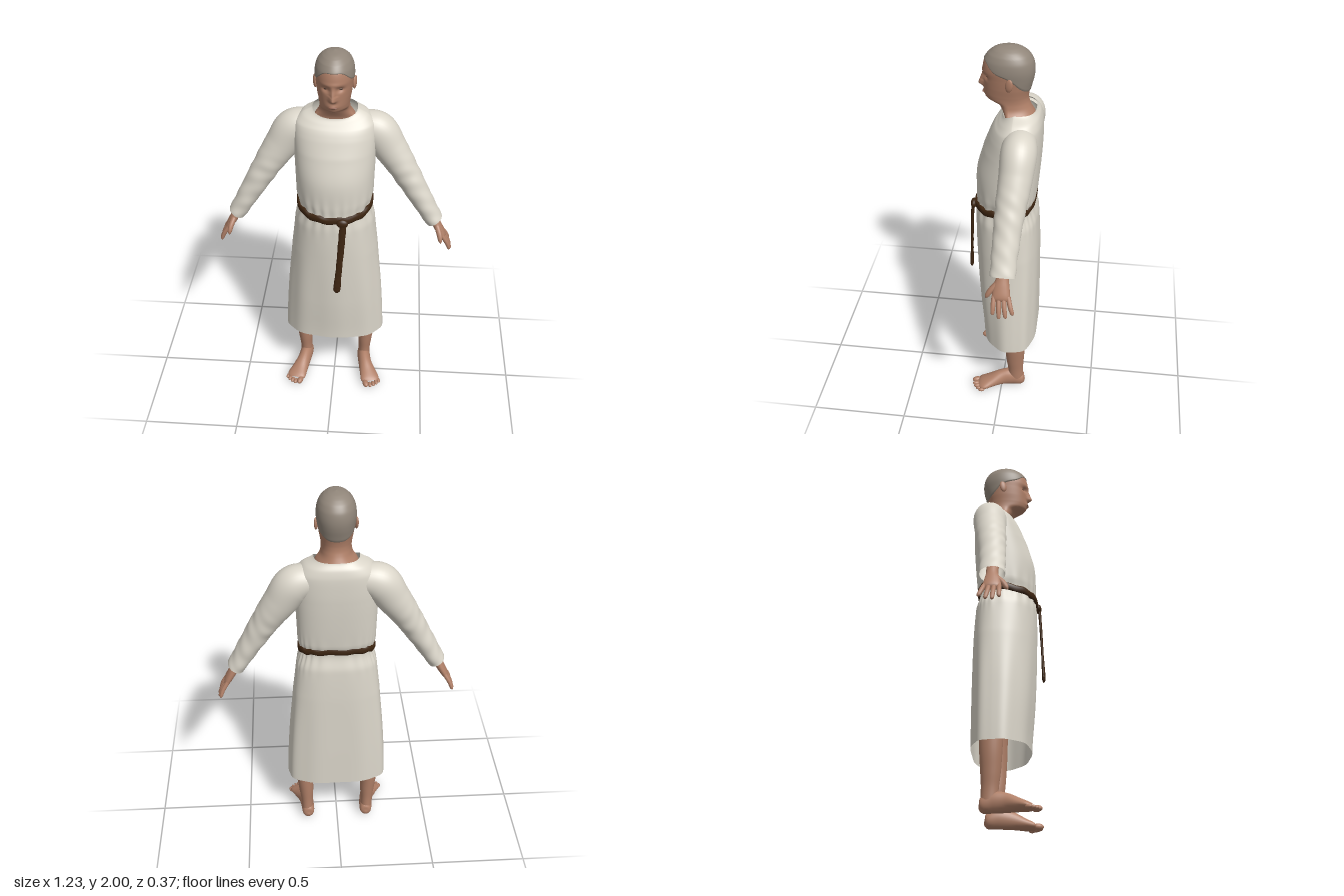
import * as THREE from 'three';

const mat = (name, color, side = THREE.FrontSide) => {
  const m = new THREE.MeshStandardMaterial({ color, side });
  m.name = name;
  return m;
};
const gauss = (v) => Math.exp(-v * v);
const X = new THREE.Vector3(1, 0, 0), Y = new THREE.Vector3(0, 1, 0), Z = new THREE.Vector3(0, 0, 1);

// Catmull-Rom value between rows of numbers
function blend(rows, i, t) {
  const at = (k) => rows[Math.min(rows.length - 1, Math.max(0, k))];
  const [a, b, c, d] = [at(i - 1), at(i), at(i + 1), at(i + 2)];
  return b.map((p, k) => p + 0.5 * t * (c[k] - a[k]
    + t * (2 * a[k] - 5 * p + 4 * c[k] - d[k] + t * (3 * (p - c[k]) + d[k] - a[k]))));
}
function sampleY(rows, y) {
  let i = 0;
  while (i < rows.length - 2 && y > rows[i + 1][0]) i++;
  return blend(rows, i, THREE.MathUtils.clamp((y - rows[i][0]) / (rows[i + 1][0] - rows[i][0]), 0, 1));
}

// Surface of rings: fn(row 0..1, angle) gives a point; angles run counter-clockwise about the path
function grid(fn, rows, cols) {
  const pos = [], idx = [];
  for (let i = 0; i <= rows; i++)
    for (let j = 0; j < cols; j++) pos.push(...fn(i / rows, (j / cols) * Math.PI * 2).toArray());
  for (let i = 0; i < rows; i++)
    for (let j = 0; j < cols; j++) {
      const a = i * cols + j, b = i * cols + ((j + 1) % cols), c = a + cols, d = b + cols;
      idx.push(a, b, c, b, d, c);
    }
  const g = new THREE.BufferGeometry();
  g.setAttribute('position', new THREE.Float32BufferAttribute(pos, 3));
  g.setIndex(idx);
  g.computeVertexNormals();
  return g;
}

// Elliptical limb through keys [x, y, z, halfWidth, halfDepth]
function limb(keys, { ref = Z, rows = 20, cols = 20, wrinkle = () => 0, floor = -1 } = {}) {
  const at = (t) => {
    const s = THREE.MathUtils.clamp(t, 0, 1) * (keys.length - 1), i = Math.min(keys.length - 2, Math.floor(s));
    return blend(keys, i, s - i);
  };
  return grid((t, a) => {
    const k = at(t);
    const dir = new THREE.Vector3(...at(t + 0.02)).sub(new THREE.Vector3(...at(t - 0.02))).normalize();
    const u = ref.clone().cross(dir).normalize(), v = dir.clone().cross(u), w = 1 + wrinkle(t, a);
    const p = new THREE.Vector3(k[0], k[1], k[2])
      .addScaledVector(u, Math.max(0, k[3]) * w * Math.cos(a)).addScaledVector(v, Math.max(0, k[4]) * w * Math.sin(a));
    p.y = Math.max(floor, p.y);
    return p;
  }, rows, cols);
}

function mirrored(g) {
  const m = g.clone().scale(-1, 1, 1), ix = m.index.array;
  for (let i = 0; i < ix.length; i += 3) [ix[i], ix[i + 1]] = [ix[i + 1], ix[i]];
  m.computeVertexNormals();
  return m;
}

// Horizontal cross-section, angle 0 at the front
function ring(a, rx, zf, zb, mid, pf, pb) {
  const s = Math.sin(a), c = Math.cos(a), p = c > 0 ? pf : pb;
  return [rx * Math.sign(s) * Math.abs(s) ** (2 / p),
    mid + (c > 0 ? zf - mid : mid - zb) * Math.sign(c) * Math.abs(c) ** (2 / p)];
}

// Robe rows: [y, half width, front z, back z]
const ROBE = [[0.325, 0.268, 0.115, -0.18], [0.6, 0.253, 0.135, -0.18], [0.9, 0.226, 0.148, -0.177],
  [1.08, 0.205, 0.15, -0.167], [1.16, 0.184, 0.143, -0.146], [1.22, 0.195, 0.145, -0.16], [1.35, 0.2, 0.142, -0.172],
  [1.48, 0.204, 0.108, -0.18], [1.56, 0.205, 0.077, -0.181], [1.62, 0.195, 0.05, -0.178],
  [1.66, 0.16, 0.03, -0.167], [1.69, 0.11, 0.012, -0.148]];
function robePoint(a, y) {
  const [, rx, zf, zb] = sampleY(ROBE, y);
  const [x, z] = ring(a, rx, zf, zb, -0.05, 2.2, 2.7);
  const gather = 0.016 * Math.sin(22 * a + 2 * Math.sin(3 * a)) * gauss((y - 1.16) / 0.08);
  const drape = 0.012 * Math.sin(9 * a + 1.3) * THREE.MathUtils.smoothstep(1.1 - y, 0, 0.5);
  const k = 1 + gather + drape;
  const front = Math.max(0, Math.cos(a));
  const dip = 0.036 * front * THREE.MathUtils.smoothstep(y, 1.58, 1.69);
  const hem = 0.012 * front * front * THREE.MathUtils.smoothstep(0.5 - y, 0, 0.17);
  return new THREE.Vector3(x * k, y - dip + hem, -0.05 + (z + 0.05) * k);
}

// Head and neck rows: [y, half width, front z, back z]
const HEAD = [[1.62, 0.115, -0.005, -0.15], [1.66, 0.1, 0.003, -0.142], [1.69, 0.08, 0.02, -0.126],
  [1.715, 0.074, 0.04, -0.115], [1.735, 0.073, 0.088, -0.11], [1.76, 0.076, 0.102, -0.11], [1.8, 0.083, 0.104, -0.119],
  [1.85, 0.089, 0.106, -0.131], [1.89, 0.092, 0.109, -0.134], [1.93, 0.087, 0.101, -0.127],
  [1.96, 0.074, 0.082, -0.109], [1.98, 0.055, 0.058, -0.085], [1.993, 0.033, 0.03, -0.058], [2, 0, -0.02, -0.02]];
function headPoint(a, y, out = 0) {
  const [, rx, zf, zb] = sampleY(HEAD, y);
  let [x, z] = ring(a, rx, zf, zb, -0.02, 2, 2.15);
  if (Math.cos(a) > 0) {
    const bridge = y > 1.803 ? Math.max(0, 1 - (y - 1.803) / 0.07) : gauss((y - 1.803) / 0.012);
    z += 0.028 * bridge * gauss(x / (y < 1.82 ? 0.016 : 0.012));
    z -= 0.013 * gauss((Math.abs(x) - 0.034) / 0.018) * gauss((y - 1.85) / 0.013);
    z += 0.004 * gauss((y - 1.876) / 0.01) * gauss(x / 0.05);
    z += 0.007 * gauss(x / 0.022) * gauss((y - 1.763) / 0.012);
    z += 0.006 * gauss(x / 0.025) * gauss((y - 1.735) / 0.01);
  }
  return new THREE.Vector3(x + out * Math.sin(a), y + out * 0.3, z + out * Math.cos(a));
}
// Hairline height round the head: brow, temple, ear, nape
const hairline = (a) => {
  const s = Math.abs(Math.atan2(Math.sin(a), Math.cos(a))) / Math.PI * 6, i = Math.min(5, Math.floor(s));
  return blend([[1.93], [1.925], [1.885], [1.86], [1.81], [1.785], [1.78]], i, s - i)[0];
};

export function createModel() {
  const model = new THREE.Group();
  const skin = mat('skin', 0xb08068), hair = mat('croppedHair', 0x91867a);
  const cloth = mat('linen', 0xdbd6ca, THREE.DoubleSide), leather = mat('leather', 0x3d2511, THREE.DoubleSide);
  const lipMat = mat('lips', 0x966452), eyeMat = mat('eyes', 0x4a352b);
  const add = (name, g, m) => {
    const mesh = new THREE.Mesh(g, m);
    mesh.name = name;
    model.add(mesh);
    return mesh;
  };
  const pair = (name, g, m) => { add(name + 'Left', g, m); add(name + 'Right', mirrored(g), m); };
  const blob = (x, y, z, sx, sy, sz, turn = 0) =>
    new THREE.SphereGeometry(1, 16, 12).scale(sx, sy, sz).rotateY(turn).translate(x, y, z);

  // Head, cropped hair and face
  const ease = (t) => 1 - (1 - t) ** 1.35;
  add('head', grid((t, a) => headPoint(a, 1.62 + 0.38 * ease(t)), 90, 96), skin);
  add('hair', grid((t, a) => {
    const low = hairline(a);
    return headPoint(a, low + (2 - low) * ease(t), t === 0 ? -0.002 : 0.003 * Math.min(1, (1 - t) * 4));
  }, 36, 96), hair);
  const eye = headPoint(0.4, 1.85), mouth = headPoint(0, 1.763);
  pair('eye', blob(eye.x, eye.y, eye.z - 0.001, 0.011, 0.0045, 0.004, 0.35), eyeMat);
  add('lips', blob(0, mouth.y, mouth.z - 0.003, 0.021, 0.005, 0.005), lipMat);
  const ear = blob(0, 0, 0, 0.009, 0.033, 0.019).rotateX(-0.15).rotateY(-0.3).translate(0.094, 1.837, -0.025);
  pair('ear', ear, skin);

  // Robe body and sleeves
  add('robe', grid((t, a) => robePoint(a, 0.325 + 1.365 * ease(t)), 110, 160), cloth);
  pair('sleeve', limb([[0.12, 1.578, -0.085, 0.075, 0.075], [0.205, 1.55, -0.086, 0.095, 0.087],
    [0.27, 1.46, -0.08, 0.086, 0.082], [0.33, 1.37, -0.07, 0.074, 0.076], [0.39, 1.27, -0.06, 0.064, 0.069],
    [0.46, 1.15, -0.053, 0.053, 0.064], [0.515, 1.055, -0.05, 0.046, 0.062]], {
    rows: 60, cols: 40,
    wrinkle: (t, a) => 0.03 * Math.sin(t * 48 + 2 * Math.sin(a)) * Math.sin(a * 2 + t * 9)
      * THREE.MathUtils.smoothstep(t, 0.35, 0.6),
  }), cloth);

  // Hands
  pair('palm', limb([[0.485, 1.11, -0.05, 0.026, 0.03], [0.515, 1.055, -0.05, 0.023, 0.03],
    [0.54, 1.01, -0.047, 0.022, 0.04], [0.565, 0.965, -0.048, 0.017, 0.043], [0.573, 0.948, -0.048, 0, 0.03]]), skin);
  [[-0.083, -0.106, 0.895], [-0.06, -0.074, 0.879], [-0.037, -0.043, 0.875], [-0.014, -0.012, 0.89]].forEach(([z0, z1, y], i) => {
    const x = 0.612 - (y - 0.875) * 0.5;
    pair('finger' + (i + 1), limb([[0.56, 0.975, z0, 0.011, 0.011], [(0.56 + x) / 2 + 0.005, (0.975 + y) / 2, (z0 + z1) / 2, 0.011, 0.0115],
      [x - 0.003, y + 0.008, z1, 0.008, 0.009], [x, y, z1, 0, 0]], { cols: 12, rows: 12 }), skin);
  });
  pair('thumb', limb([[0.53, 1.03, -0.03, 0.015, 0.015], [0.545, 0.995, 0.002, 0.014, 0.014],
    [0.552, 0.965, 0.02, 0.01, 0.011], [0.555, 0.95, 0.027, 0, 0]], { cols: 12, rows: 14 }), skin);

  // Legs, feet and toes
  pair('leg', limb([[0.168, 0.05, -0.08, 0.032, 0.042], [0.17, 0.12, -0.077, 0.033, 0.042], [0.173, 0.2, -0.074, 0.04, 0.049],
    [0.18, 0.33, -0.073, 0.046, 0.057], [0.17, 0.55, -0.07, 0.058, 0.065], [0.13, 0.95, -0.04, 0.075, 0.085]], { rows: 30, cols: 28 }), skin);
  pair('foot', limb([[0.163, 0.035, -0.13, 0, 0], [0.164, 0.036, -0.115, 0.03, 0.036], [0.168, 0.05, -0.06, 0.036, 0.052],
    [0.178, 0.045, 0, 0.037, 0.047], [0.197, 0.031, 0.06, 0.046, 0.032], [0.212, 0.02, 0.105, 0.052, 0.021],
    [0.217, 0.016, 0.125, 0.035, 0.012]], { ref: Y, rows: 30, cols: 28, floor: 0.002 }), skin);
  [[0.188, 0.14, 0.016], [0.213, 0.143, 0.011], [0.231, 0.134, 0.0105], [0.247, 0.121, 0.01], [0.26, 0.105, 0.01]].forEach(([x, z, r], i) =>
    pair('toe' + (i + 1), blob(x, r, z, r, r, r * 1.5 + 0.003, 0.3), skin));

  // Belt, knot and hanging end
  const profile = [[-0.018, -0.008], [-0.018, 0.008], [-0.008, 0.013], [0.008, 0.013], [0.018, 0.008], [0.018, -0.008]];
  add('belt', grid((t, a) => {
    const [dy, out] = profile[Math.round(t * 5)];
    const [, rx, zf, zb] = sampleY(ROBE, 1.16);
    const [x, z] = ring(a, rx + out, zf + out, zb - out, -0.05, 2.2, 2.7);
    return new THREE.Vector3(x, 1.17 - 0.02 * Math.cos(a) + dy + 0.003 * Math.sin(a * 13), z);
  }, 5, 120), leather);
  add('beltKnot', blob(0.05, 1.145, 0.158, 0.03, 0.024, 0.016), leather);
  add('beltEnd', limb([[0.055, 1.15, 0.163, 0.017, 0.008], [0.045, 1.0, 0.17, 0.017, 0.007], [0.034, 0.85, 0.176, 0.016, 0.007],
    [0.026, 0.75, 0.18, 0.019, 0.009], [0.024, 0.725, 0.18, 0.014, 0.007], [0.023, 0.712, 0.18, 0, 0]], {
    rows: 50, cols: 14, wrinkle: (t) => 0.05 * Math.sin(t * 80),
  }), leather);
  return model;
}
